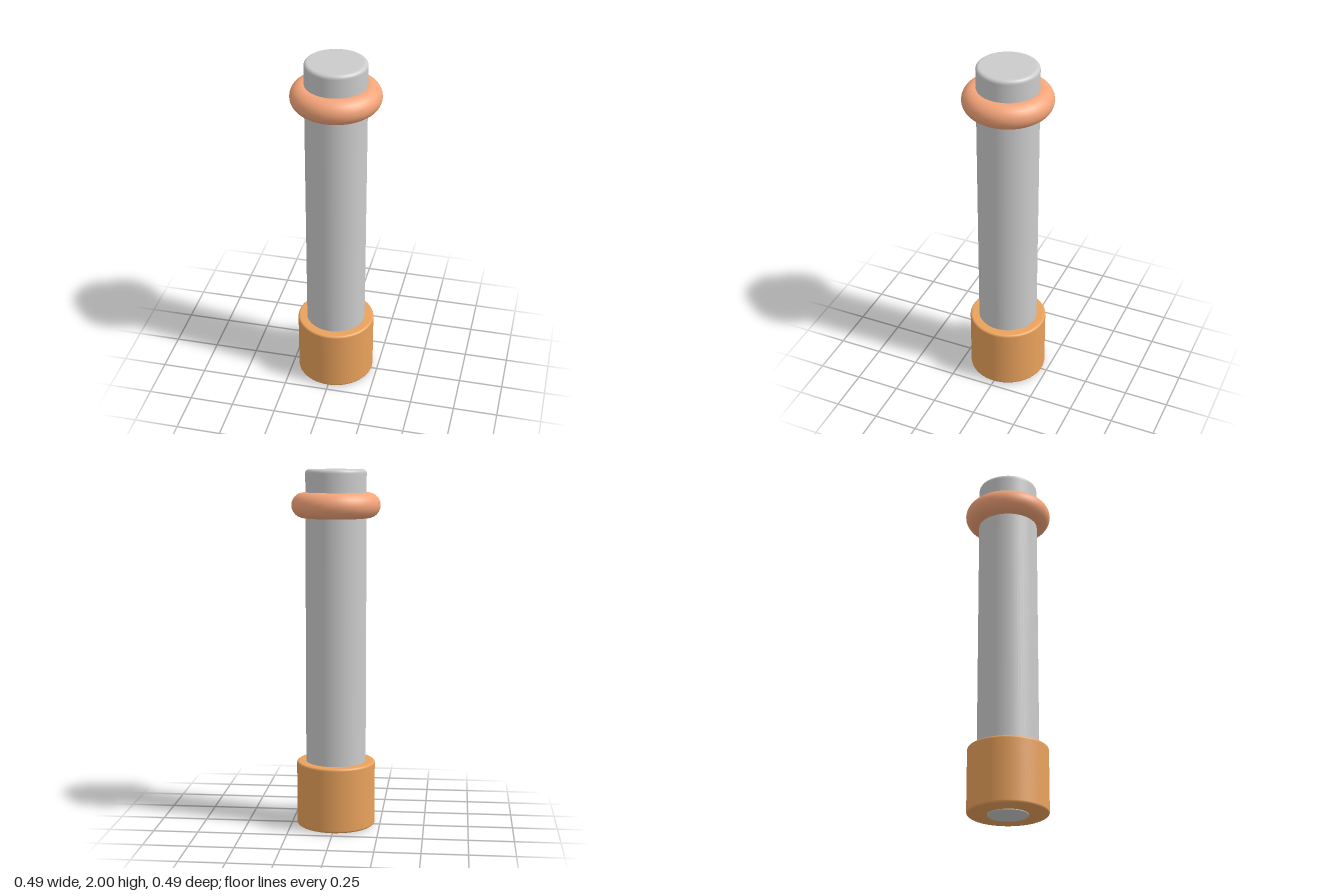
import * as THREE from 'three';

// Solid round bar with filleted rims, turned around the y axis
function roundBar(name, radius, bottom, top, fillet, color) {
  const pts = [new THREE.Vector2(0, bottom), new THREE.Vector2(radius - fillet * 1.2, bottom)];
  const arc = (cy, from) => {
    for (let i = 0; i <= 6; i++) {
      const a = from + (i / 6) * Math.PI / 2;
      pts.push(new THREE.Vector2(radius - fillet + fillet * Math.cos(a), cy + fillet * Math.sin(a)));
    }
  };
  arc(bottom + fillet, -Math.PI / 2);
  // support loops keep the wall shading straight
  pts.push(new THREE.Vector2(radius, bottom + fillet * 1.2), new THREE.Vector2(radius, top - fillet * 1.2));
  arc(top - fillet, 0);
  pts.push(new THREE.Vector2(radius - fillet * 1.2, top), new THREE.Vector2(0, top));
  const mesh = new THREE.Mesh(
    new THREE.LatheGeometry(pts, 64),
    new THREE.MeshStandardMaterial({ color })
  );
  mesh.name = name;
  return mesh;
}

export function createModel() {
  const model = new THREE.Group();
  model.name = 'ringedPost';

  // Grey shaft running the full height
  model.add(roundBar('shaft', 0.168, 0.008, 2, 0.02, 0xcccccc));

  // Wide collar at the foot
  model.add(roundBar('baseCollar', 0.22, 0.004, 0.37, 0.012, 0xeaa25c));

  // End of the shaft showing under the collar
  const plug = new THREE.Mesh(
    new THREE.CylinderGeometry(0.11, 0.11, 0.01, 48),
    new THREE.MeshStandardMaterial({ color: 0xcccccc })
  );
  plug.name = 'shaftEnd';
  plug.position.y = 0.005;
  model.add(plug);

  // Round ring near the top
  const ring = new THREE.Mesh(
    new THREE.TorusGeometry(0.175, 0.07, 24, 72),
    new THREE.MeshStandardMaterial({ color: 0xf5a57a })
  );
  ring.name = 'ring';
  ring.rotation.x = Math.PI / 2;
  ring.position.y = 1.805;
  model.add(ring);

  return model;
}
